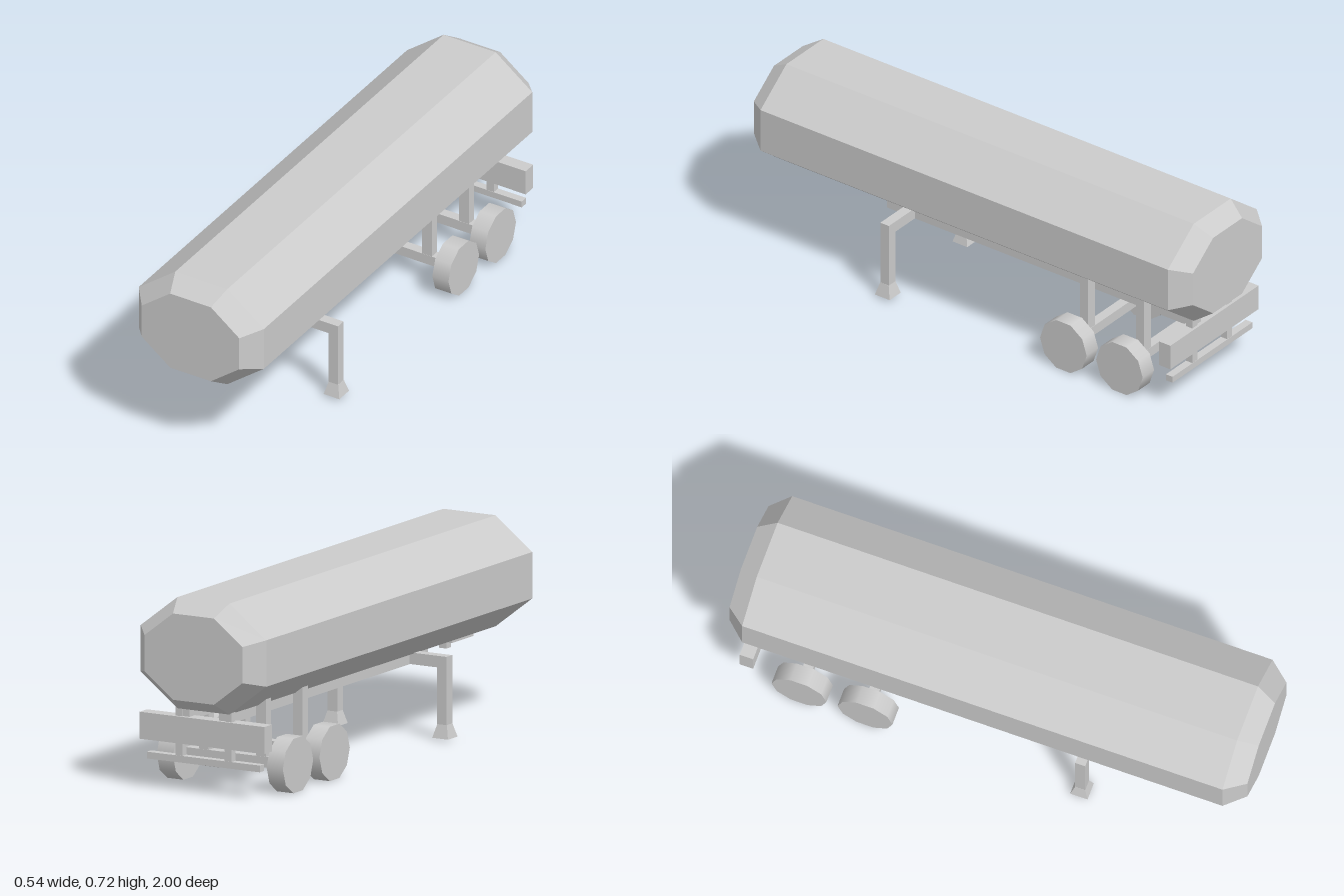
import * as THREE from 'three';

const material = new THREE.MeshStandardMaterial({ color: 0xcccccc, flatShading: true });
const smooth = new THREE.MeshStandardMaterial({ color: 0xcccccc });

// Box given by its limits on each axis
function box(parent, name, [x0, x1], [y0, y1], [z0, z1]) {
  const mesh = new THREE.Mesh(new THREE.BoxGeometry(x1 - x0, y1 - y0, z1 - z0), material);
  mesh.position.set((x0 + x1) / 2, (y0 + y1) / 2, (z0 + z1) / 2);
  mesh.name = name;
  parent.add(mesh);
  return mesh;
}

// Counter-clockwise octagon ring seen from +z
function octagon(w, top, flatW, h, z) {
  const cy = 0.514;
  return [[flatW, -top], [w, -h], [w, h], [flatW, top], [-flatW, top], [-w, h], [-w, -h], [-flatW, -top]]
    .map(([x, y]) => [x, cy + y, z]);
}

// Flat-faced loft through rings ordered from -z to +z, closed at both ends
function loft(rings) {
  const pos = [];
  const tri = (a, b, c) => pos.push(...a, ...b, ...c);
  const n = rings[0].length;
  for (let r = 0; r < rings.length - 1; r++) {
    for (let i = 0; i < n; i++) {
      const j = (i + 1) % n;
      const [a, b, c, d] = [rings[r][i], rings[r][j], rings[r + 1][j], rings[r + 1][i]];
      tri(a, b, c);
      tri(a, c, d);
    }
  }
  const first = rings[0], last = rings[rings.length - 1];
  for (let i = 1; i < n - 1; i++) {
    tri(first[0], first[i + 1], first[i]);
    tri(last[0], last[i], last[i + 1]);
  }
  const g = new THREE.BufferGeometry();
  g.setAttribute('position', new THREE.Float32BufferAttribute(pos, 3));
  g.computeVertexNormals();
  return g;
}

export function createModel() {
  const model = new THREE.Group();
  model.name = 'tankTrailer';

  // Octagonal tank with tapered ends
  const tank = new THREE.Mesh(loft([
    octagon(0.208, 0.16, 0.087, 0.067, -1),
    octagon(0.267, 0.206, 0.111, 0.086, -0.93),
    octagon(0.267, 0.206, 0.111, 0.086, 0.925),
    octagon(0.208, 0.16, 0.087, 0.067, 1),
  ]), material);
  tank.name = 'tank';
  model.add(tank);

  // Coupling plate and pin under the nose
  box(model, 'couplingPlate', [-0.074, 0.074], [0.285, 0.312], [0.68, 0.83]);
  box(model, 'couplingPin', [-0.016, 0.016], [0.248, 0.29], [0.738, 0.77]);

  // Two axles, each with struts and a pair of ten-sided wheels
  for (const z of [-0.455, -0.71]) {
    const axle = new THREE.Group();
    axle.name = 'axleAssembly';
    model.add(axle);
    box(axle, 'axle', [-0.21, 0.21], [0.08, 0.119], [z - 0.019, z + 0.019]);
    box(axle, 'crossMember', [-0.07, 0.07], [0.275, 0.31], [z - 0.019, z + 0.019]);
    for (const s of [-1, 1]) {
      const x = s * 0.122;
      box(axle, 'strut', [x - 0.021, x + 0.021], [0.1, 0.333], [z - 0.018, z + 0.018]);
      const wheel = new THREE.Mesh(new THREE.CylinderGeometry(0.106, 0.106, 0.069, 10), smooth);
      wheel.geometry.rotateY(Math.PI / 2);
      wheel.geometry.rotateZ(Math.PI / 2);
      // Turn so that a flat side rests on the ground
      wheel.geometry.rotateX(Math.PI / 2);
      wheel.geometry.computeBoundingBox();
      const low = wheel.geometry.boundingBox.min.y;
      if (low < -0.104) wheel.geometry.rotateX(Math.PI / 10);
      wheel.position.set(s * 0.2335, 0.101, z);
      wheel.name = 'wheel';
      axle.add(wheel);
    }
  }

  for (const s of [-1, 1]) {
    const span = (a, b) => (s > 0 ? [a, b] : [-b, -a]);

    // Chassis rail
    box(model, 'chassisRail', span(0.062, 0.095), [0.267, 0.315], [-0.925, 0.48]);

    // Landing leg: arm, post and flared foot
    const leg = new THREE.Group();
    leg.name = 'landingLeg';
    model.add(leg);
    box(leg, 'arm', span(0.09, 0.253), [0.268, 0.311], [0.351, 0.39]);
    box(leg, 'post', span(0.212, 0.253), [0.058, 0.268], [0.351, 0.39]);
    const foot = box(leg, 'foot', span(0.2, 0.267), [0.008, 0.058], [0.337, 0.404]);
    const p = foot.geometry.attributes.position;
    for (let i = 0; i < p.count; i++) {
      if (p.getY(i) > 0) p.setXYZ(i, p.getX(i) * 0.61, p.getY(i), p.getZ(i) * 0.58);
    }
    foot.geometry.computeVertexNormals();

    // Hanger carrying the rear guard bars
    box(model, 'guardHanger', span(0.09, 0.12), [0.12, 0.315], [-0.93, -0.902]);
  }

  // Rear bumper and lower guard bar
  box(model, 'bumper', [-0.265, 0.265], [0.18, 0.28], [-0.94, -0.888]);
  box(model, 'lowerGuardBar', [-0.24, 0.24], [0.108, 0.133], [-0.931, -0.901]);

  return model;
}
